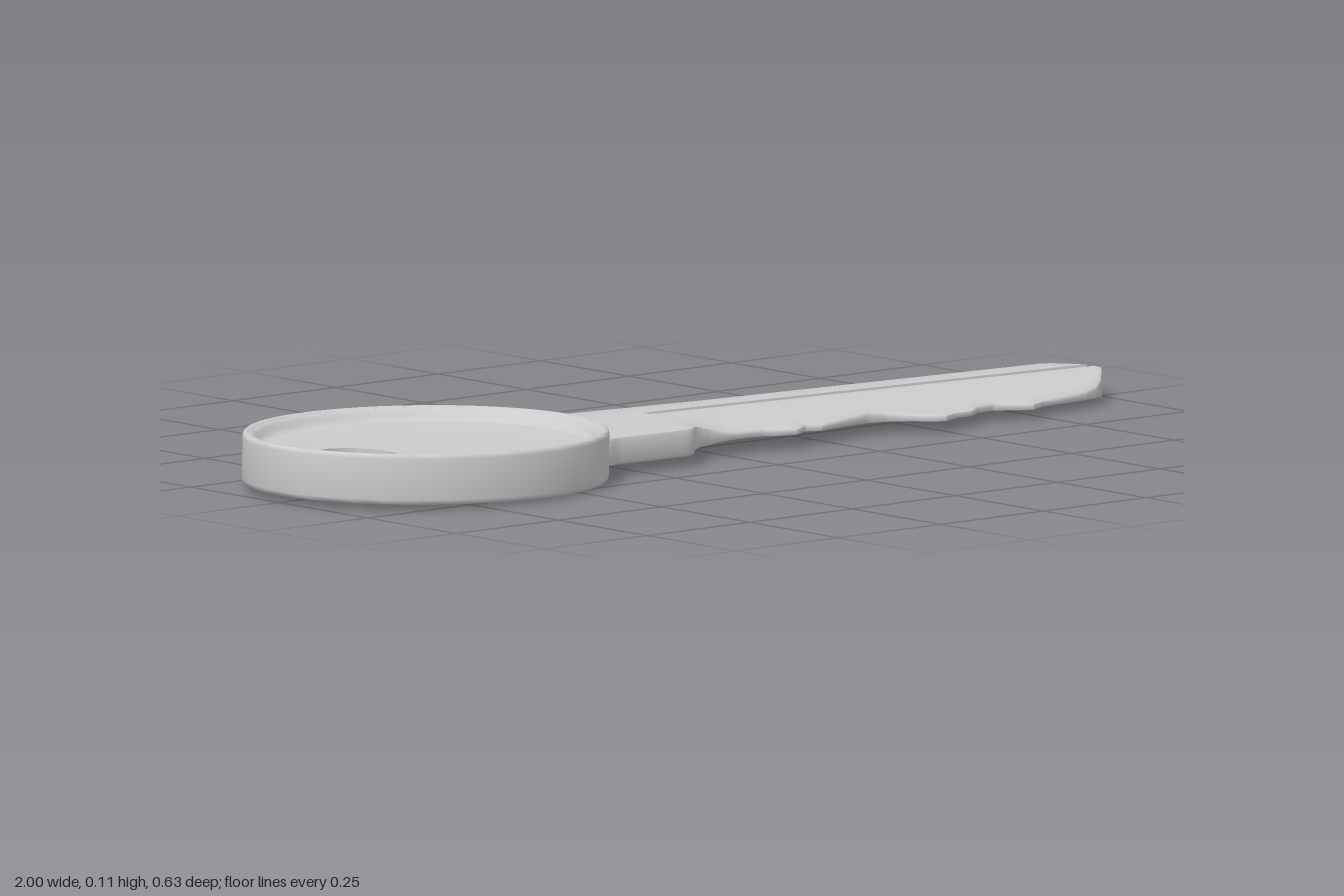
import * as THREE from 'three';
import { toCreasedNormals } from 'three/addons/utils/BufferGeometryUtils.js';

const { lerp, clamp, smoothstep } = THREE.MathUtils;
const material = new THREE.MeshStandardMaterial({ color: 0xcccccc, side: THREE.DoubleSide });

// Oval bow: centre, radii, and where the rim meets the dished face
const bowX = -0.643, rx = 0.357, rz = 0.313, rimInner = 0.955;

// Outlines of the blade as [x, z]
const cutEdge = [
  [-0.4, 0.185], [-0.35, 0.18], [-0.32, 0.17], [-0.14, 0.165], [-0.12, 0.155], [-0.09, 0.122],
  [-0.06, 0.11], [0.08, 0.11], [0.12, 0.125], [0.15, 0.132], [0.19, 0.108], [0.22, 0.12],
  [0.28, 0.105], [0.36, 0.09], [0.4, 0.1], [0.44, 0.125], [0.47, 0.15], [0.49, 0.159],
  [0.53, 0.14], [0.575, 0.134], [0.61, 0.11], [0.65, 0.105], [0.68, 0.12], [0.72, 0.14],
  [0.76, 0.12], [0.82, 0.11], [0.88, 0.1], [0.92, 0.085], [0.95, 0.062], [0.98, 0.03], [1, 0.005],
];
const backEdge = [
  [-0.4, -0.15], [-0.34, -0.135], [-0.3, -0.125], [-0.2, -0.12], [0.1, -0.107],
  [0.94, -0.105], [0.96, -0.098], [0.98, -0.076], [1, -0.045],
];

function sample(line, x) {
  const i = Math.max(1, line.findIndex((p) => p[0] >= x - 1e-6));
  const [a, b] = [line[i - 1], line[i]];
  return lerp(a[1], b[1], (x - a[0]) / (b[0] - a[0]));
}

// Cross-section [z, y]: back edge, over the grooved and bevelled top, cut edge, underside
function section(x) {
  const h = 0.027, c = 0.007;
  const zb = sample(backEdge, x), zf = sample(cutEdge, x);
  const groove = 0.028 * smoothstep(x, -0.08, -0.05);
  const bevel = smoothstep(x, -0.13, 0.03);
  const e = lerp(0.009, 0.003, bevel);
  const z = (v) => clamp(v, zb + c, zf - e);
  const top = (v) => h - 0.03 * bevel * smoothstep(v, 0.005, 0.13);
  const low = (v) => -h + 0.013 * bevel * smoothstep(v, 0, 0.1);
  const across = [0, 0.2, 0.4, 0.6, 0.8, 1].map((f) => lerp(z(0), zf - e, f));
  return [
    [zb, h - c], [zb + c * 0.3, h - c * 0.3], [zb + c, h],
    [z(-0.042), h], [z(-0.037), h - groove], [z(-0.024), h - groove], [z(-0.018), h],
    ...across.map((v) => [v, top(v)]),
    [zf - e * 0.3, top(zf) - e * 0.3], [zf, top(zf) - e],
    [zf, low(zf) + e], [zf - e * 0.3, low(zf) + e * 0.3],
    ...across.reverse().map((v) => [v, low(v)]),
    [zb + c, -h], [zb + c * 0.3, -h + c * 0.3], [zb, -h + c],
  ];
}

// Blade lofted along x, ending inside the bow's rim and closed at the tip
function bladeGeometry() {
  const steps = 140, positions = [], index = [];
  let ring;
  for (let i = 0; i <= steps; i++) {
    const x = -0.4 + i * 0.01;
    ring = section(x);
    for (const [z, y] of ring) {
      const root = bowX + rx * 0.975 * Math.sqrt(1 - (z / rz) ** 2);
      positions.push(Math.max(x, root), y, z);
    }
  }
  const n = ring.length;
  for (let i = 0; i < steps; i++) {
    for (let j = 0; j < n; j++) {
      const a = i * n + j, b = i * n + ((j + 1) % n);
      index.push(a, b, a + n, b, b + n, a + n);
    }
  }
  const cap = ring.map(([z, y]) => new THREE.Vector2(-z, y));
  THREE.ShapeUtils.triangulateShape(cap, []).forEach((t) => index.push(...t.map((k) => k + steps * n)));
  const geometry = new THREE.BufferGeometry();
  geometry.setAttribute('position', new THREE.Float32BufferAttribute(positions, 3));
  geometry.setIndex(index);
  return toCreasedNormals(geometry, 0.6);
}

// Both dished faces and the hole wall: a ring moved to span from the round hole to the oval rim
function dishGeometry() {
  const steps = 24, profile = [];
  for (let k = -steps; k <= steps; k++) {
    const s = 1 - (1 - Math.abs(k) / steps) ** 2;
    if (k === 0) profile.push(new THREE.Vector2(1, 1), new THREE.Vector2(1, -1));
    else profile.push(new THREE.Vector2(1 + s, -Math.sign(k)));
  }
  const geometry = new THREE.LatheGeometry(profile, 72);
  const p = geometry.attributes.position;
  for (let i = 0; i < p.count; i++) {
    const r = Math.hypot(p.getX(i), p.getZ(i));
    const dx = p.getX(i) / r, dz = p.getZ(i) / r;
    const x = lerp(-0.805 + 0.075 * dx, bowX + rx * rimInner * dx, r - 1);
    const z = lerp(-0.005 + 0.075 * dz, rz * rimInner * dz, r - 1);
    const d = Math.hypot((x - bowX) / rx, z / rz);
    const height = 0.013 + 0.012 * d * d + 0.02 * smoothstep(d, 0.88, rimInner);
    p.setXYZ(i, x, Math.sign(p.getY(i)) * height, z);
  }
  return toCreasedNormals(geometry, 0.6);
}

// Rounded rim around the bow, turned and stretched to an oval
function rimGeometry() {
  const profile = [
    [rimInner, -0.044], [0.966, -0.047], [0.985, -0.047], [0.996, -0.044], [1, -0.038],
    [1, 0.038], [0.996, 0.044], [0.985, 0.047], [0.966, 0.047], [rimInner, 0.044],
  ].map(([r, y]) => new THREE.Vector2(r, y));
  const geometry = new THREE.LatheGeometry(profile, 72).scale(rx, 1, rz).translate(bowX, 0, 0);
  return toCreasedNormals(geometry, 0.9);
}

export function createModel() {
  const model = new THREE.Group();
  const key = new THREE.Group();
  key.name = 'key';
  const parts = { bowDish: dishGeometry(), bowRim: rimGeometry(), blade: bladeGeometry() };
  for (const [name, geometry] of Object.entries(parts)) {
    const mesh = new THREE.Mesh(geometry, material);
    mesh.name = name;
    key.add(mesh);
  }

  // The key rests slightly tipped, on the bow and the tip
  key.rotation.z = -0.016;
  model.add(key);
  model.updateMatrixWorld(true);
  key.position.y = -new THREE.Box3().setFromObject(model, true).min.y;
  return model;
}
